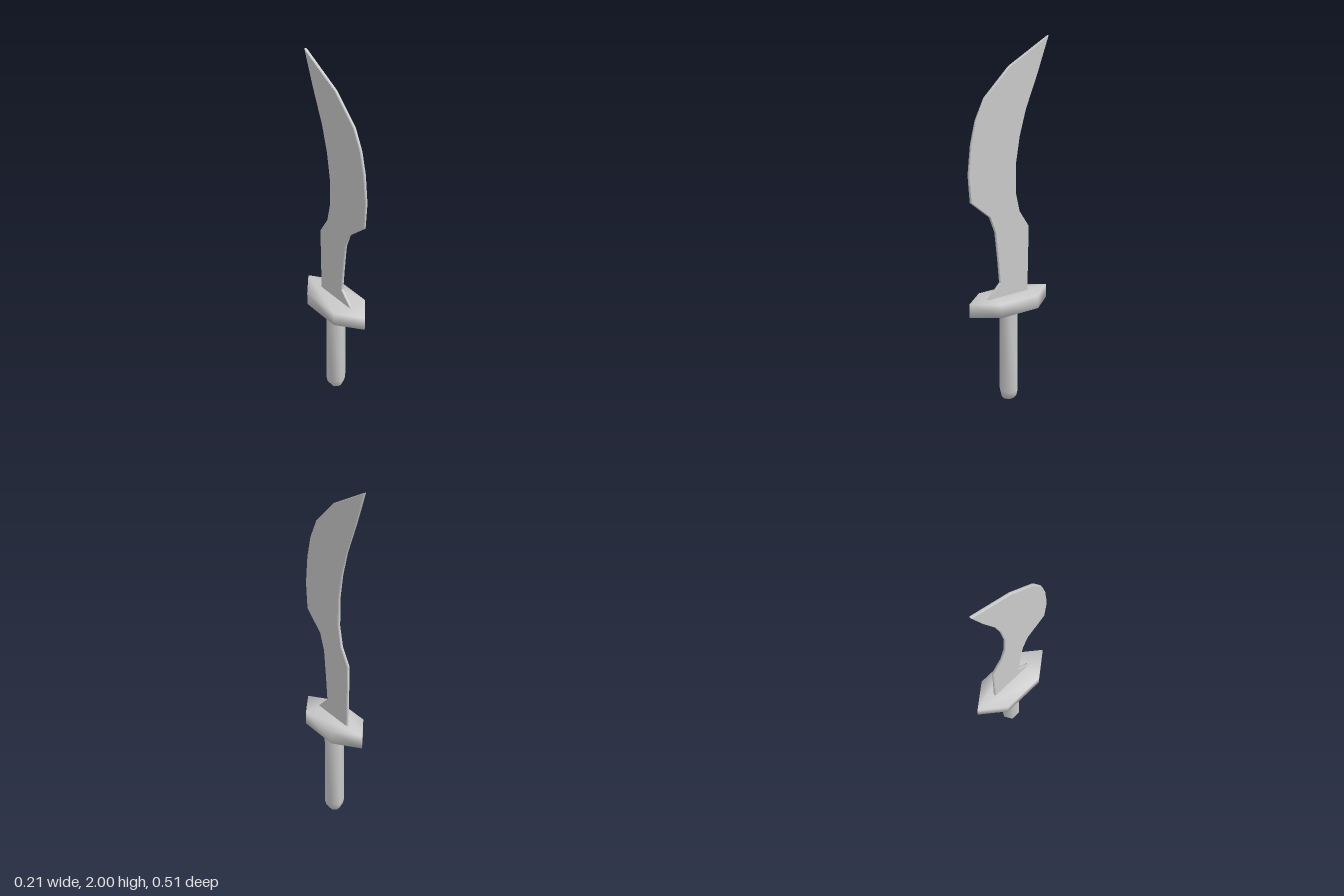
import * as THREE from 'three';
import { mergeVertices, toCreasedNormals } from 'three/addons/utils/BufferGeometryUtils.js';

const material = new THREE.MeshStandardMaterial({ color: 0xcccccc });

// Share vertices so the shading rolls softly over every edge
function soften(geometry) {
  geometry.deleteAttribute('normal');
  geometry.deleteAttribute('uv');
  const merged = mergeVertices(geometry, 1e-4);
  merged.computeVertexNormals();
  return merged;
}

function part(name, geometry) {
  const mesh = new THREE.Mesh(geometry, material);
  mesh.name = name;
  return mesh;
}

const toShape = (points) => new THREE.Shape(points.map(([x, y]) => new THREE.Vector2(x, y)));

// Curved blade, outlined as [z, y]: cutting edge up to the tip, then down the spine
function createBlade() {
  const outline = [
    [0.14, 0.61], [0.14, 0.62], [0.06, 0.7], [0.072, 0.83], [0.09, 0.99], [0.125, 1.08],
    [0.245, 1.18], [0.257, 1.33], [0.24, 1.49], [0.21, 1.61], [0.155, 1.72],
    [0, 1.865], [-0.254, 2],
    [-0.185, 1.81], [-0.11, 1.63], [-0.07, 1.49], [-0.045, 1.34], [-0.045, 1.19],
    [-0.07, 1.08], [-0.132, 0.985], [-0.125, 0.61],
  ];
  const geometry = new THREE.ExtrudeGeometry(toShape(outline), {
    depth: 0.008, bevelThickness: 0.004, bevelSize: 0.004, bevelOffset: -0.004, bevelSegments: 1,
  });
  geometry.translate(0, 0, -0.004).rotateY(-Math.PI / 2);
  return part('blade', toCreasedNormals(geometry, 0.6));
}

// Stretched hexagonal guard
function createGuard() {
  const outline = [
    [0, 0.257], [-0.106, 0.122], [-0.106, -0.122], [0, -0.257], [0.106, -0.122], [0.106, 0.122],
  ];
  const geometry = new THREE.ExtrudeGeometry(toShape(outline), { depth: 0.075, bevelEnabled: false });
  geometry.rotateX(-Math.PI / 2).translate(0, 0.545, 0);
  return part('guard', soften(geometry));
}

// Six-sided grip with a tapered, closed pommel end
function createHandle() {
  const profile = [[0, 0], [0.03, 0.006], [0.047, 0.026], [0.054, 0.056], [0.054, 0.56]];
  const geometry = new THREE.LatheGeometry(profile.map(([r, y]) => new THREE.Vector2(r, y)), 6);
  return part('handle', soften(geometry));
}

export function createModel() {
  const group = new THREE.Group();
  group.name = 'curvedSword';
  group.add(createBlade(), createGuard(), createHandle());
  return group;
}
